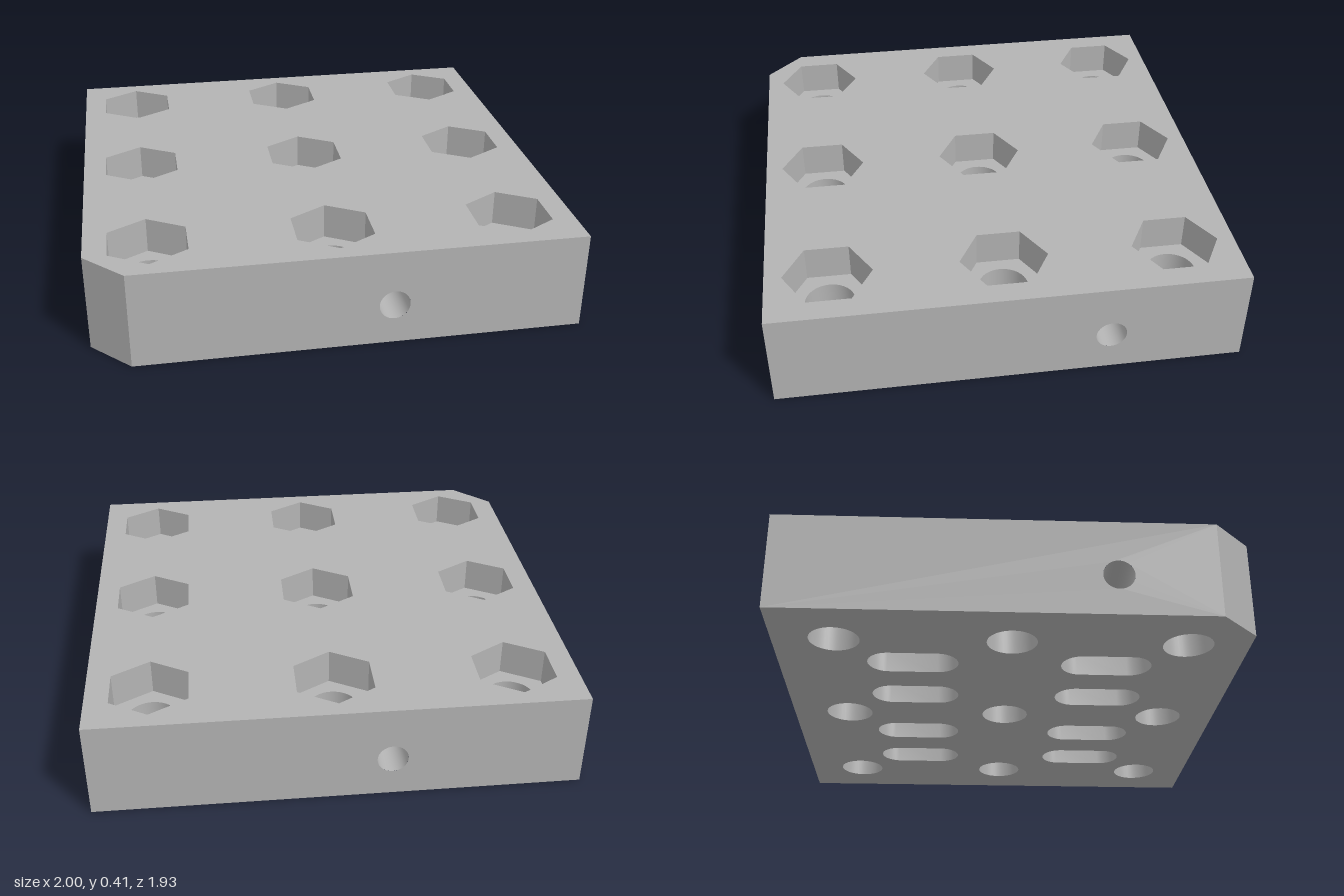
import * as THREE from 'three';
import { toCreasedNormals } from 'three/addons/utils/BufferGeometryUtils.js';

const H = 0.415, D = 0.965;
const POCKET_FLOOR = 0.265, SLOT_CEILING = 0.1, PIN_TOP = 0.2, BORE_Y = 0.175;

// Closed loop of [x, z] points; stretch pulls the two halves apart along z
function loop(cx, cz, r, n, stretch = 0, start = 0) {
  const pts = [];
  for (let i = 0; i < n; i++) {
    const a = start + (i / n) * Math.PI * 2;
    const s = Math.sin(a);
    const shift = stretch * (i < n / 2 ? 1 : -1);
    pts.push([cx + r * Math.cos(a), cz + r * s + shift]);
  }
  return pts;
}

// Horizontal face with holes, facing up or down
function flatFace(outline, holes, y, up) {
  const toVec = ([x, z]) => new THREE.Vector2(x, up ? -z : z);
  const shape = new THREE.Shape(outline.map(toVec));
  for (const h of holes) shape.holes.push(new THREE.Path(h.map(toVec)));
  return new THREE.ShapeGeometry(shape).rotateX(up ? -Math.PI / 2 : Math.PI / 2).translate(0, y, 0);
}

// Vertical wall of a recess, facing inwards
function innerWall(pts, y0, y1) {
  const pos = [], index = [], n = pts.length;
  pts.forEach(([x, z], i) => {
    pos.push(x, y0, z, x, y1, z);
    const a = 2 * i, b = 2 * ((i + 1) % n);
    index.push(a, b, a + 1, b, b + 1, a + 1);
  });
  const g = new THREE.BufferGeometry();
  g.setAttribute('position', new THREE.Float32BufferAttribute(pos, 3));
  g.setIndex(index);
  return toCreasedNormals(g, 0.6);
}

export function createModel() {
  const model = new THREE.Group();
  model.name = 'mountingBlock';
  const grey = new THREE.MeshStandardMaterial({ color: 0xb3b3b3 });
  grey.name = 'grey';
  const add = (parent, name, geometry) => {
    const mesh = new THREE.Mesh(geometry, grey);
    mesh.name = name;
    parent.add(mesh);
    return mesh;
  };

  // Block outline with one cut corner
  const outline = [[-0.84, D], [1, D], [1, -D], [-1, -D], [-1, 0.805]];
  const topHoles = [], bottomHoles = [];

  // Nine hexagonal nut pockets over round through holes
  for (const x of [-0.745, 0, 0.745]) {
    for (const z of [-0.713, 0, 0.713]) {
      const hex = loop(x, z, 0.182, 6, 0, Math.PI / 2);
      const round = loop(x, z, 0.103, 40);
      topHoles.push(hex);
      bottomHoles.push(round);
      const nut = new THREE.Group();
      nut.name = 'nutPocket';
      add(nut, 'pocketWall', innerWall(hex, POCKET_FLOOR, H));
      add(nut, 'pocketFloor', flatFace(hex, [round], POCKET_FLOOR, true));
      add(nut, 'throughHole', innerWall(round, 0, POCKET_FLOOR));
      model.add(nut);
    }
  }

  // Eight slots underneath, each with two small deeper holes
  for (const x of [-0.54, -0.214, 0.214, 0.54]) {
    for (const z of [-0.405, 0.405]) {
      const rim = loop(x, z, 0.09, 40, 0.1);
      const pins = [-0.09, 0.09].map((dz) => loop(x, z + dz, 0.05, 24));
      bottomHoles.push(rim);
      const slot = new THREE.Group();
      slot.name = 'slot';
      add(slot, 'slotWall', innerWall(rim, 0, SLOT_CEILING));
      add(slot, 'slotCeiling', flatFace(rim, pins, SLOT_CEILING, false));
      for (const p of pins) {
        add(slot, 'pinHole', innerWall(p, SLOT_CEILING, PIN_TOP));
        add(slot, 'pinHoleEnd', flatFace(p, [], PIN_TOP, false));
      }
      model.add(slot);
    }
  }

  add(model, 'topFace', flatFace(outline, topHoles, H, true));
  add(model, 'bottomFace', flatFace(outline, bottomHoles, 0, false));

  // Stepped side bore, listed from its inner end out to the rim
  const boreProfile = [[0, 0.42], [0.035, 0.42], [0.035, 0.33], [0.046, 0.33], [0.063, 0.29], [0.063, 0]]
    .map(([r, d]) => new THREE.Vector2(r, d));
  const boreGeometry = toCreasedNormals(
    new THREE.LatheGeometry(boreProfile, 32).rotateX(-Math.PI / 2), 0.4);

  // Side walls; the number is the bore's distance along the wall
  const boreAt = [1.05, 1.37, 1.213, 1.37, null];
  outline.forEach(([ax, az], i) => {
    const [bx, bz] = outline[(i + 1) % outline.length];
    const len = Math.hypot(bx - ax, bz - az);
    const side = new THREE.Group();
    side.name = 'side';
    side.position.set(ax, 0, az);
    side.rotation.y = Math.atan2(az - bz, bx - ax);
    const shape = new THREE.Shape([[0, 0], [len, 0], [len, H], [0, H]].map((p) => new THREE.Vector2(...p)));
    if (boreAt[i] !== null) {
      shape.holes.push(new THREE.Path().absarc(boreAt[i], BORE_Y, 0.063, 0, Math.PI * 2, true));
      add(side, 'sideBore', boreGeometry).position.set(boreAt[i], BORE_Y, 0);
    }
    add(side, 'sideWall', new THREE.ShapeGeometry(shape, 32));
    model.add(side);
  });

  return model;
}
